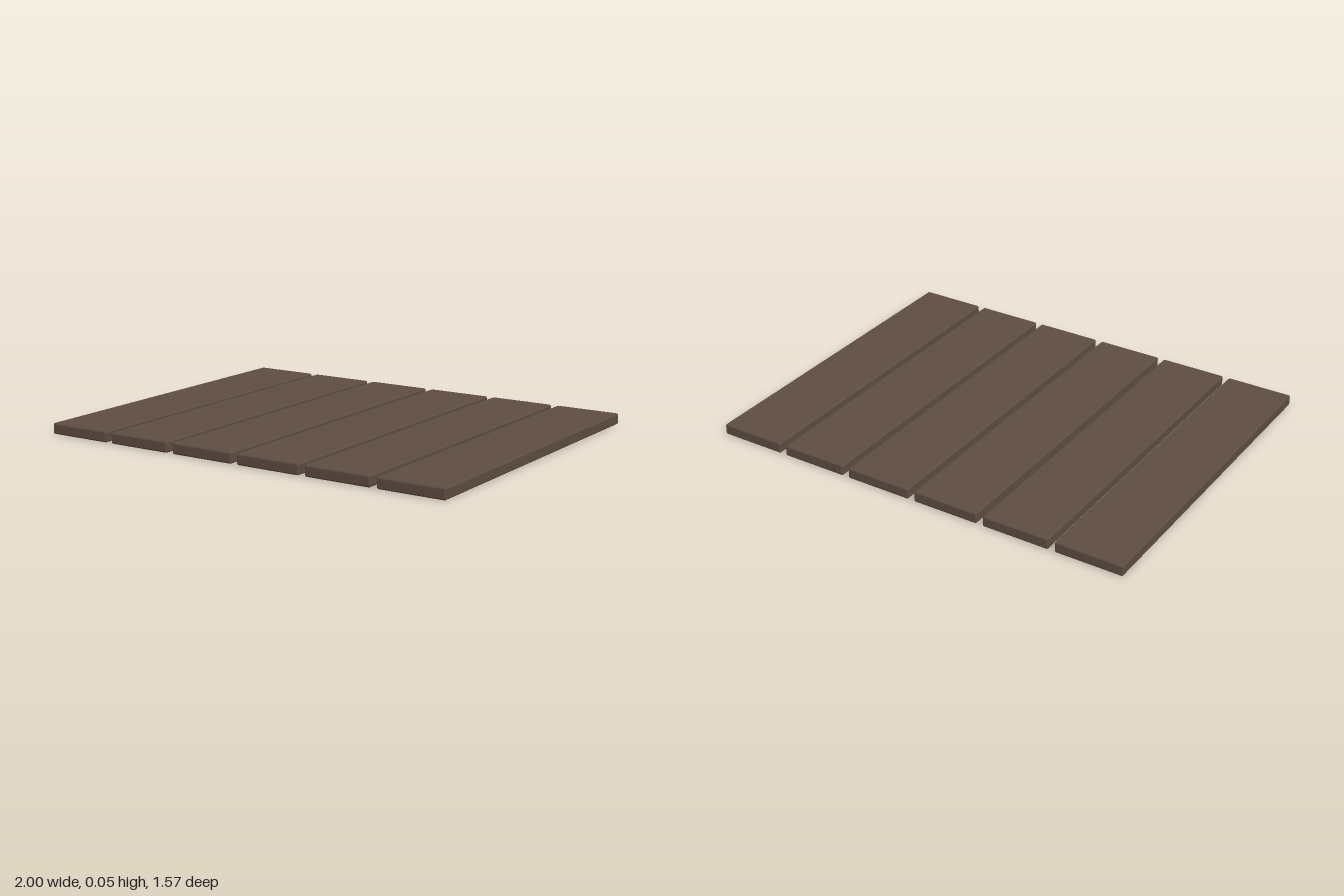
import * as THREE from 'three';
import { RoundedBoxGeometry } from 'three/addons/geometries/RoundedBoxGeometry.js';

const COUNT = 6, WIDTH = 0.308, HEIGHT = 0.05, LENGTH = 1.57;
const PITCH = (2 - WIDTH) / (COUNT - 1);

export function createModel() {
  const model = new THREE.Group();
  model.name = 'plankFloor';

  const wood = new THREE.MeshStandardMaterial({ color: 0x5e4c41 });
  wood.name = 'dark wood';

  // Row of softly rounded planks with narrow gaps
  const geometry = new RoundedBoxGeometry(WIDTH, HEIGHT, LENGTH, 3, 0.008);
  for (let i = 0; i < COUNT; i++) {
    const plank = new THREE.Mesh(geometry, wood);
    plank.name = `plank${i + 1}`;
    plank.position.set((i - (COUNT - 1) / 2) * PITCH, HEIGHT / 2, 0);
    model.add(plank);
  }
  return model;
}
